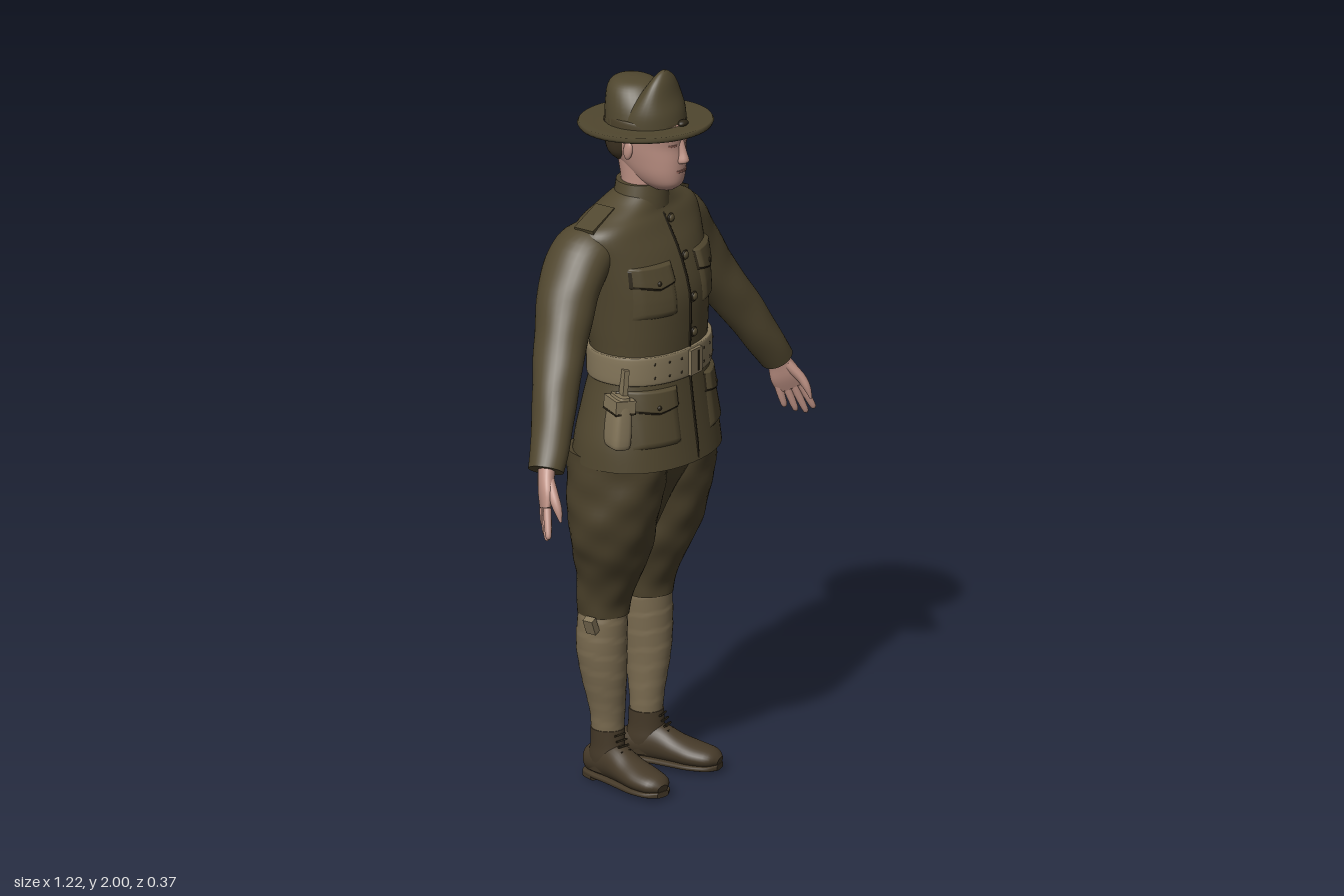
import * as THREE from 'three';

const paint = (name, color) => Object.assign(new THREE.MeshStandardMaterial({ color }), { name });
const M = {
  wool: paint('olive wool', 0x51472f),
  breeches: paint('breeches cloth', 0x4a402a),
  felt: paint('hat felt', 0x50472f),
  wrap: paint('legging khaki', 0x7a6b50),
  web: paint('webbing khaki', 0x84765a),
  skin: paint('skin', 0xbd9184),
  lips: paint('lips', 0x94655a),
  leather: paint('boot leather', 0x463a29),
  hair: paint('hair', 0x3f3423),
  seam: paint('dark seam', 0x2c2517),
};

// Catmull-Rom through rows of numbers
function dense(rows, steps = 4) {
  const out = [], n = rows.length - 1;
  for (let i = 0; i < n; i++) for (let k = 0; k < steps; k++) {
    const t = k / steps, [a, b, c, d] = [rows[Math.max(i - 1, 0)], rows[i], rows[i + 1], rows[Math.min(i + 2, n)]];
    out.push(b.map((_, j) => b[j] + 0.5 * t * (c[j] - a[j] + t * (2 * a[j] - 5 * b[j] + 4 * c[j] - d[j] + t * (3 * (b[j] - c[j]) + d[j] - a[j])))));
  }
  return [...out, rows[n]];
}

// Skin over rows [x, y, z, radiusU, radiusV]; level rings, or rings across the path when ref is given
function loft(rows, { ref, ripple, power = 2, sides = 32, steps = 4 } = {}) {
  const R = dense(rows, steps), pos = [], idx = [], n = R.length;
  const at = i => new THREE.Vector3(...R[Math.min(Math.max(i, 0), n - 1)].slice(0, 3));
  const bend = v => Math.sign(v) * Math.abs(v) ** (2 / power);
  for (let i = 0; i < n; i++) {
    const T = ref ? at(i + 1).sub(at(i - 1)).normalize() : new THREE.Vector3(0, 1, 0);
    const V = (ref ? ref.clone() : new THREE.Vector3(0, 0, 1)).addScaledVector(T, ref ? -ref.dot(T) : 0).normalize();
    const U = T.clone().cross(V);
    for (let j = 0; j < sides; j++) {
      const a = j / sides * Math.PI * 2, k = ripple ? ripple(a, R[i][1]) : 1;
      pos.push(...at(i).addScaledVector(U, bend(Math.cos(a)) * R[i][3] * k).addScaledVector(V, bend(Math.sin(a)) * R[i][4] * k).toArray());
    }
  }
  for (let i = 0; i < n - 1; i++) for (let j = 0; j < sides; j++) {
    const a = i * sides + j, b = i * sides + (j + 1) % sides, c = a + sides, d = b + sides;
    idx.push(a, c, b, b, c, d);
  }
  for (const end of [0, n - 1]) {
    const base = pos.length / 3;
    pos.push(...pos.slice(end * sides * 3, (end + 1) * sides * 3), ...at(end).toArray());
    for (let j = 0; j < sides; j++) {
      const p = base + j, q = base + (j + 1) % sides;
      idx.push(base + sides, end ? q : p, end ? p : q);
    }
  }
  const g = new THREE.BufferGeometry();
  g.setAttribute('position', new THREE.Float32BufferAttribute(pos, 3));
  g.setIndex(idx);
  g.computeVertexNormals();
  return g;
}

// Body rows given by height, half width, front z and back z
const body = list => list.map(([y, w, f, b]) => [0, y, (f + b) / 2, w, (f - b) / 2]);
const JACKET = body([[0.93, 0.228, 0.178, -0.17], [1.0, 0.222, 0.168, -0.16], [1.1, 0.2, 0.155, -0.14], [1.2, 0.18, 0.145, -0.122],
  [1.3, 0.187, 0.148, -0.14], [1.4, 0.198, 0.146, -0.163], [1.5, 0.215, 0.115, -0.164], [1.56, 0.228, 0.085, -0.152],
  [1.59, 0.212, 0.07, -0.136], [1.612, 0.165, 0.058, -0.118], [1.635, 0.11, 0.052, -0.1], [1.655, 0.074, 0.046, -0.08]]);
const HEAD = body([[1.672, 0.025, 0.09, 0.02], [1.69, 0.045, 0.112, -0.02], [1.72, 0.06, 0.119, -0.055], [1.76, 0.07, 0.12, -0.09],
  [1.8, 0.077, 0.117, -0.105], [1.84, 0.08, 0.122, -0.108], [1.88, 0.075, 0.1, -0.1]]);
const P = 2.15;

// Front depth of a lofted body at x, y
function frontZ(R, x, y) {
  let i = R.findIndex(r => r[1] >= y);
  if (i < 1) i = i < 0 ? R.length - 1 : 1;
  const t = (y - R[i - 1][1]) / (R[i][1] - R[i - 1][1]);
  const r = R[i].map((v, j) => THREE.MathUtils.lerp(R[i - 1][j], v, t));
  return r[2] + r[4] * (1 - Math.min(Math.abs(x) / r[3], 0.98) ** P) ** (1 / P);
}

export function createModel() {
  const root = new THREE.Group();
  root.name = 'soldier';
  const add = (name, geo, mat, p = [0, 0, 0], r = [0, 0, 0], s = [1, 1, 1], parent = root) => {
    const m = new THREE.Mesh(geo, mat);
    m.name = name;
    m.position.set(...p); m.rotation.set(...r); m.scale.set(...s);
    parent.add(m);
  };
  const box = (w, h, d) => new THREE.BoxGeometry(w, h, d);
  const ball = new THREE.SphereGeometry(1, 20, 14);
  const jacketR = dense(JACKET), headR = dense(HEAD);
  // Thin panel laid on a body's front, optionally with a pointed lower edge
  const panel = (name, mat, R, cx, cy, w, h, lift, point = 0) => {
    const g = new THREE.PlaneGeometry(w, h, 10, 16), p = g.attributes.position;
    for (let i = 0; i < p.count; i++) {
      const u = p.getX(i) / w * 2, v = p.getY(i) / h * 2, x = cx + p.getX(i);
      const y = cy + p.getY(i) - point * (1 - Math.abs(u)) * (1 - v) / 2;
      const edge = Math.max(Math.abs(u), Math.abs(v)) > 0.99;
      p.setXYZ(i, x, y, frontZ(R, x, y) + (edge ? 0.0005 : lift));
    }
    g.computeVertexNormals();
    add(name, g, mat);
  };

  // Jacket with collar, front placket and buttons
  const cloth = (a, y) => 1 + 0.012 * Math.sin(3 * a + 38 * y) + 0.008 * Math.sin(2 * a - 61 * y);
  add('jacket', loft(JACKET, { power: P, sides: 56 }), M.wool);
  add('collar', loft([[0, 1.615, -0.018, 0.085, 0.078], [0, 1.65, -0.014, 0.076, 0.071], [0, 1.683, -0.014, 0.068, 0.066]]), M.wool);
  panel('placketSeam', M.seam, jacketR, -0.006, 1.27, 0.006, 0.67, 0.004);
  for (const y of [1.585, 1.49, 1.38, 1.28]) {
    const z = frontZ(jacketR, 0, y);
    add('buttonRim', ball, M.seam, [0.01, y, z + 0.002], [0, 0, 0], [0.014, 0.014, 0.005]);
    add('button', ball, M.wool, [0.01, y, z + 0.004], [0, 0, 0], [0.011, 0.011, 0.007]);
  }

  // Belt, buckle, eyelets
  const beltRow = (y, e) => [0, y, 0.012, 0.182 + e, 0.134 + e];
  add('belt', loft([beltRow(1.165, 0.006), beltRow(1.172, 0.011), beltRow(1.236, 0.011), beltRow(1.243, 0.006)], { power: P, sides: 56 }), M.web);
  add('buckle', box(0.05, 0.07, 0.012), M.web, [0, 1.204, 0.16]);
  add('buckleSlot', box(0.006, 0.056, 0.004), M.seam, [0.008, 1.204, 0.166]);
  const beltR = [beltRow(1.1, 0.011), beltRow(1.3, 0.011)];
  for (const x of [-0.13, -0.09, -0.05, 0.05, 0.09, 0.13]) for (const y of [1.185, 1.223])
    add('eyelet', ball, M.seam, [x, y, frontZ(beltR, x, y)], [0, 0, 0], [0.004, 0.004, 0.002]);

  // Hip pouch hung from the belt on the right
  const pouch = new THREE.Group();
  pouch.name = 'hipPouch';
  pouch.position.set(-0.2, 1.075, 0.055);
  pouch.rotation.set(0, -0.5, -0.08);
  root.add(pouch);
  add('pouchBody', loft([[0, -0.075, 0, 0.02, 0.035], [0, -0.06, 0, 0.028, 0.043], [0, 0.02, 0, 0.026, 0.04], [0, 0.07, 0, 0.016, 0.034]], { power: 3.5 }), M.web, undefined, undefined, undefined, pouch);
  add('pouchFlap', box(0.058, 0.035, 0.075), M.web, [0, 0.045, 0], undefined, undefined, pouch);
  add('pouchSeam', box(0.06, 0.005, 0.077), M.seam, [0, 0.026, 0], undefined, undefined, pouch);
  add('pouchStrap', box(0.014, 0.1, 0.025), M.web, [0.008, 0.09, 0], undefined, undefined, pouch);

  // Seat of the breeches, running down between the legs
  add('breechesSeat', loft([[0, 0.67, -0.035, 0.012, 0.05], [0, 0.74, -0.025, 0.035, 0.072], [0, 0.82, -0.018, 0.075, 0.1], [0, 0.88, -0.015, 0.14, 0.125], [0, 0.95, -0.01, 0.2, 0.145]]), M.breeches);

  for (const s of [1, -1]) {
    const side = list => list.map(([x, ...r]) => [x * s, ...r]);
    const Z = new THREE.Vector3(0, 0, 1), Y = new THREE.Vector3(0, 1, 0);

    // Chest and skirt pockets
    for (const [x, y, w, h, fy] of [[0.112, 1.415, 0.112, 0.13, 1.468], [0.128, 1.06, 0.125, 0.13, 1.125]]) {
      panel('pocket', M.wool, jacketR, x * s, y, w, h, 0.008);
      panel('pocketFlapEdge', M.seam, jacketR, x * s, fy - 0.004, w + 0.012, 0.05, 0.0095, 0.016);
      panel('pocketFlap', M.wool, jacketR, x * s, fy, w + 0.008, 0.05, 0.014, 0.015);
      add('pocketButton', ball, M.seam, [x * s, fy - 0.022, frontZ(jacketR, x, fy - 0.022) + 0.012], [0, 0, 0], [0.007, 0.007, 0.005]);
    }
    add('shoulderStrap', box(0.105, 0.012, 0.06), M.wool, [0.168 * s, 1.609, -0.045], [0, 0, -0.36 * s]);

    // Sleeve
    add('sleeve', loft(side([[0.1, 1.55, -0.055, 0.04, 0.07], [0.195, 1.528, -0.06, 0.066, 0.09], [0.268, 1.437, -0.058, 0.072, 0.086],
      [0.335, 1.325, -0.035, 0.066, 0.074], [0.41, 1.215, 0, 0.058, 0.064], [0.48, 1.1, 0.035, 0.049, 0.055], [0.525, 1.03, 0.05, 0.043, 0.05]]),
    { ref: Z, ripple: cloth, steps: 6 }), M.wool);

    // Hand turned palm inward and forward, thumb leading
    const S = new THREE.Vector3(0.7 * s, 0, 0.7).normalize();
    const hand = new THREE.Group();
    hand.name = s > 0 ? 'leftHand' : 'rightHand';
    root.add(hand);
    const put = (name, rows, sides) => add(name, loft(rows, { ref: S, sides }), M.skin, undefined, undefined, undefined, hand);
    put('palm', side([[0.51, 1.055, 0.045, 0.024, 0.03], [0.53, 1.015, 0.055, 0.022, 0.032], [0.545, 0.975, 0.065, 0.02, 0.041], [0.558, 0.94, 0.072, 0.013, 0.037]]), 24);
    [0.07, 0.085, 0.092, 0.08].forEach((len, i) => {
      const o = -0.03 + i * 0.02, row = (t, r) => [
        0.555 * s + S.x * o * (1 + t * 0.25) + s * 0.3 * len * t, 0.948 - 0.92 * len * t, 0.07 + S.z * o * (1 + t * 0.25) + 0.25 * len * t, r, r];
      put('finger', [row(0, 0.011), row(0.5, 0.0105), row(0.9, 0.008), row(1, 0.002)], 10);
    });
    put('thumb', side([[0.54, 1.01, 0.072, 0.015, 0.015], [0.56, 0.975, 0.102, 0.014, 0.013], [0.567, 0.945, 0.12, 0.011, 0.01], [0.57, 0.915, 0.131, 0.003, 0.003]]), 12);

    // Breeches leg, gathered at the knee
    const folds = (a, y) => 1 + 0.016 * Math.sin(5 * a + 40 * y) + 0.012 * Math.sin(3 * a - 66 * y);
    add('breechesLeg', loft(side([[0.1, 0.48, -0.065, 0.067, 0.07], [0.1, 0.52, -0.064, 0.071, 0.074], [0.1, 0.58, -0.05, 0.08, 0.086], [0.104, 0.64, -0.036, 0.099, 0.1],
      [0.113, 0.7, -0.028, 0.112, 0.111], [0.118, 0.78, -0.02, 0.118, 0.124], [0.115, 0.86, -0.015, 0.115, 0.138], [0.11, 0.95, -0.01, 0.114, 0.146]]),
    { ripple: folds, sides: 40, steps: 6 }), M.breeches);

    // Wrapped legging with overlapping turns
    const turns = (a, y) => { const t = y / 0.05 + s * a / (Math.PI * 2); return 1 + 0.025 * (t - Math.floor(t)); };
    add('legging', loft(side([[0.088, 0.13, -0.06, 0.041, 0.043], [0.09, 0.2, -0.06, 0.045, 0.048], [0.1, 0.3, -0.064, 0.057, 0.062],
      [0.104, 0.38, -0.068, 0.065, 0.068], [0.103, 0.45, -0.067, 0.065, 0.067], [0.1, 0.5, -0.065, 0.061, 0.064]]),
    { ripple: turns, steps: 10 }), M.wrap);

    // Boot with sole, heel and laces, toes turned out
    const boot = new THREE.Group();
    boot.name = s > 0 ? 'leftBoot' : 'rightBoot';
    boot.position.set(0.088 * s, 0, -0.06);
    boot.rotation.y = 0.2 * s;
    root.add(boot);
    const shoe = [[0, 0.047, -0.07, 0.02, 0.028], [0, 0.049, -0.058, 0.034, 0.038], [0, 0.056, -0.02, 0.041, 0.047], [0, 0.062, 0.03, 0.043, 0.053],
      [0, 0.05, 0.09, 0.049, 0.04], [0, 0.042, 0.14, 0.053, 0.033], [0, 0.037, 0.19, 0.043, 0.026], [0, 0.032, 0.213, 0.018, 0.012]];
    const sole = shoe.map(([x, , z, u]) => [x, 0.017, z, u + 0.002, 0.008]);
    const fit = (name, geo, mat, p, r) => add(name, geo, mat, p, r, undefined, boot);
    fit('bootFoot', loft(shoe, { ref: Y }), M.leather);
    fit('bootShaft', loft([[0, 0.03, -0.008, 0.038, 0.056], [0, 0.07, -0.002, 0.043, 0.056], [0, 0.105, 0, 0.042, 0.05], [0, 0.152, 0, 0.045, 0.047]]), M.leather);
    fit('sole', loft(sole, { ref: Y, power: 4 }), M.leather);
    fit('heel', loft(sole.slice(0, 3).map(([x, , z, u]) => [x, 0.012, z, u, 0.012]), { ref: Y, power: 4 }), M.leather);
    for (let i = 0; i < 4; i++) fit('lace', box(0.034, 0.005, 0.008), M.seam, [0, 0.14 - i * 0.014, 0.047 + i * 0.007], [-0.4, 0, 0]);

    // Ears, eyes and brows
    add('ear', ball, M.skin, [0.077 * s, 1.785, -0.002], [0.15, 0.2 * s, 0], [0.009, 0.027, 0.015]);
    panel('eye', M.lips, headR, 0.031 * s, 1.806, 0.022, 0.006, 0.002);
    panel('eyebrow', M.lips, headR, 0.033 * s, 1.824, 0.034, 0.005, 0.003);
  }
  add('kneeTie', box(0.02, 0.045, 0.03), M.web, [-0.178, 0.465, -0.05], [0, 0, 0.4]);

  // Neck, head, nose, mouth and cropped hair
  add('neck', loft([[0, 1.62, -0.015, 0.058, 0.058], [0, 1.68, -0.008, 0.056, 0.06], [0, 1.76, -0.015, 0.06, 0.068]]), M.skin);
  add('head', loft(HEAD, { power: P, sides: 40 }), M.skin);
  add('nose', loft([[0, 1.752, 0.116, 0.012, 0.008], [0, 1.76, 0.118, 0.017, 0.021], [0, 1.785, 0.114, 0.012, 0.018], [0, 1.82, 0.112, 0.01, 0.008]], { sides: 16 }), M.skin);
  panel('mouth', M.lips, headR, 0, 1.731, 0.044, 0.007, 0.003);
  add('hair', loft([[0, 1.735, -0.052, 0.04, 0.032], [0, 1.76, -0.05, 0.068, 0.054], [0, 1.8, -0.047, 0.08, 0.067], [0, 1.85, -0.045, 0.083, 0.07]]), M.hair);

  // Hat: wide brim, band, pinched front peak and rear dome
  const brim = new THREE.LatheGeometry([[0.08, -0.008], [0.13, -0.009], [0.167, -0.007], [0.171, 0.001], [0.167, 0.008], [0.13, 0.004], [0.08, 0.008]].map(p => new THREE.Vector2(...p)), 48);
  add('hatBrim', brim, M.felt, [0, 1.845, 0], [-0.06, 0, 0], [1, 1, 1.09]);
  add('hatBand', loft([[0, 1.847, 0, 0.1, 0.114], [0, 1.868, 0, 0.098, 0.111], [0, 1.872, 0, 0.093, 0.104]]), M.breeches);
  add('hatPeak', loft([[0, 1.85, 0.015, 0.096, 0.098], [0, 1.89, 0.03, 0.09, 0.076], [0, 1.93, 0.045, 0.074, 0.046], [0, 1.97, 0.054, 0.049, 0.026], [0, 1.992, 0.057, 0.024, 0.013], [0, 2.0, 0.058, 0.007, 0.005]]), M.felt);
  add('hatDome', loft([[0, 1.85, -0.01, 0.097, 0.103], [0, 1.9, -0.02, 0.088, 0.092], [0, 1.94, -0.035, 0.07, 0.073], [0, 1.96, -0.04, 0.045, 0.05], [0, 1.966, -0.042, 0.01, 0.012]]), M.felt);
  add('bandKnot', ball, M.seam, [0.005, 1.863, 0.118], [0, 0, 0], [0.018, 0.009, 0.012]);
  return root;
}
